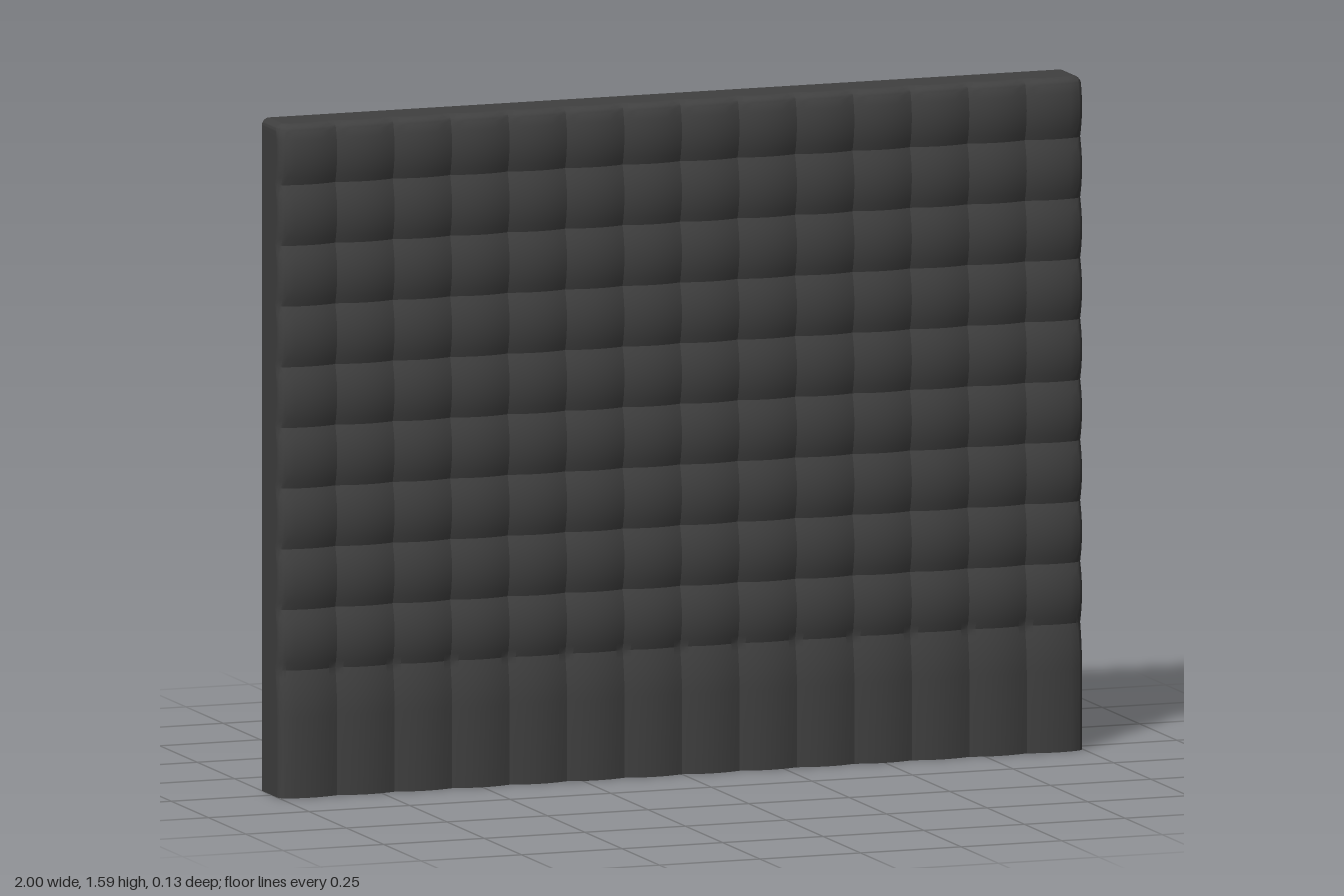
import * as THREE from 'three';
import { toCreasedNormals } from 'three/addons/utils/BufferGeometryUtils.js';

const H = 1.59, BACK = -0.066, FRONT = 0.066;
const COLS = 14, ROWS = 9, SEG = 8, BASE = 0.3;   // quilting layout
const CW = 2 / COLS, RH = (H - BASE) / ROWS;
const DIP = 0.013;                                // groove depth
const R = CW / SEG;                               // rounding of the outer edges

// Grid surface from a function of column and row
function grid(nu, nv, point, crease) {
  const pos = [], index = [];
  for (let j = 0; j < nv; j++) for (let i = 0; i < nu; i++) pos.push(...point(i, j));
  for (let j = 0; j < nv - 1; j++) {
    for (let i = 0; i < nu - 1; i++) {
      const a = j * nu + i, b = a + 1, c = a + nu, d = c + 1;
      index.push(a, b, d, a, d, c);
    }
  }
  const g = new THREE.BufferGeometry();
  g.setAttribute('position', new THREE.Float32BufferAttribute(pos, 3));
  g.setIndex(index);
  return toCreasedNormals(g, crease);
}

// Finer stations across a rounded edge, from its start to the outline
const edge = [];
for (let k = 1; k <= 6; k++) edge.push(R * Math.sin((k / 6) * Math.PI / 2));

// Stations across the width and up the height
const xs = [];
for (let i = 1; i < COLS * SEG; i++) xs.push(-1 + i * CW / SEG);
for (const e of edge) { xs.unshift(-1 + R - e); xs.push(1 - R + e); }
const ys = [0, 0.1, 0.19];
for (let k = 1; k < 6; k++) ys.push(0.19 + (BASE - 0.19) * k / 6);
for (let j = 0; j < ROWS * SEG; j++) ys.push(BASE + j * RH / SEG);
ys[ys.length - 1] = H - R;
for (const e of edge) ys.push(H - R + e);

// Distance from the middle of a pad, 0 at the crown and 1 at the groove
const across = (t) => Math.abs(2 * (t - Math.floor(t)) - 1);

function frontPoint(i, j) {
  let x = xs[i], y = ys[j];
  const u = across((x + 1) / CW);
  const v = y < BASE ? Math.max(0, (y - 0.19) / (BASE - 0.19)) : across((y - BASE) / RH);
  // Round the upper corners of the outline and roll the edges back
  let p = Math.max(0, (Math.abs(x) - 1 + R) / R), q = Math.max(0, (y - H + R) / R);
  if (p > 0 && q > 0) {
    [p, q] = [p * Math.sqrt(1 - q * q / 2), q * Math.sqrt(1 - p * p / 2)];
    x = Math.sign(x) * (1 - R + p * R);
    y = H - R + q * R;
  }
  const roll = R * (1 - Math.sqrt(Math.max(0, 1 - p * p - q * q)));
  return [x, y, FRONT - DIP * (u * u + v * v) - roll];
}

export function createModel() {
  const group = new THREE.Group();
  const material = new THREE.MeshStandardMaterial({ color: 0x404040, side: THREE.DoubleSide });
  const add = (name, geometry) => {
    const mesh = new THREE.Mesh(geometry, material);
    mesh.name = name;
    group.add(mesh);
  };

  // Padded front with a grid of pillows above a row of tall ones
  add('quiltedFront', grid(xs.length, ys.length, frontPoint, 0.5));

  // Side and top walls, open at the back and bottom
  const path = [], nx = xs.length - 1, ny = ys.length - 1;
  for (let j = 0; j <= ny; j++) path.push(frontPoint(0, j));
  for (let i = 1; i <= nx; i++) path.push(frontPoint(i, ny));
  for (let j = ny - 1; j >= 0; j--) path.push(frontPoint(nx, j));
  add('sideAndTopWalls', grid(path.length, 2, (i, j) => {
    const [x, y, z] = path[i];
    return [x, y, j ? BACK : z];
  }, 0.5));

  return group;
}
